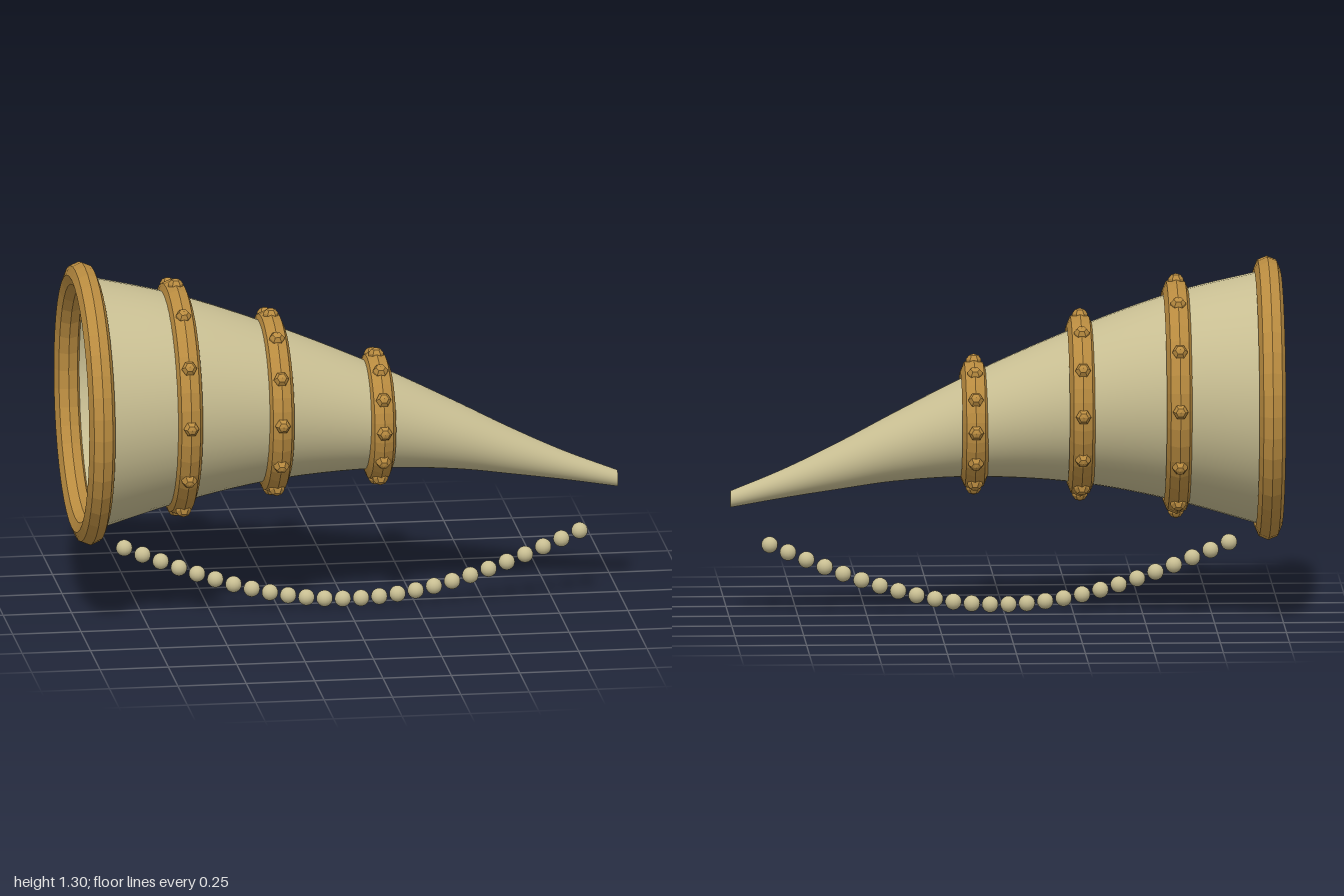
import * as THREE from 'three';
import { mergeVertices } from 'three/addons/utils/BufferGeometryUtils.js';

const material = (name, color, extra = {}) => new THREE.MeshStandardMaterial({ name, color, ...extra });

export function createModel() {
  const model = new THREE.Group();
  model.name = 'ornateHorn';
  const bone = material('bone', 0xc8be92, { side: THREE.DoubleSide });
  const gold = material('gold', 0xba8c40, { flatShading: true });

  const add = (name, geometry, mat, parent = model) => {
    const mesh = new THREE.Mesh(geometry, mat);
    mesh.name = name;
    parent.add(mesh);
    return mesh;
  };

  // Horn sections: x, centre height, radius
  const sections = [
    [-0.95, 0.79, 0.466], [-0.62, 0.798, 0.38], [-0.27, 0.77, 0.284], [0.11, 0.7, 0.19],
    [0.4, 0.619, 0.125], [0.6, 0.552, 0.086], [0.8, 0.488, 0.053], [0.995, 0.431, 0.03],
  ];
  const profile = new THREE.CatmullRomCurve3(sections.map((s) => new THREE.Vector3(...s)));

  // Hollow horn body: an open cylinder laid along the curved, tapering profile
  const body = new THREE.CylinderGeometry(1, 1, 1, 48, 40, true);
  const pos = body.attributes.position;
  for (let i = 0; i < pos.count; i++) {
    const s = profile.getPoint(Math.min(1, Math.max(0, pos.getY(i) + 0.5)));
    pos.setXYZ(i, s.x, s.y - pos.getX(i) * s.z, pos.getZ(i) * s.z);
  }
  body.deleteAttribute('uv');
  body.deleteAttribute('normal');
  const smoothBody = mergeVertices(body, 1e-5);
  smoothBody.computeVertexNormals();
  add('hornBody', smoothBody, bone);

  // Slightly sunken tip
  const tip = add('hornTip', new THREE.ConeGeometry(0.03, 0.02, 16, 1, true), bone);
  tip.rotation.z = Math.PI / 2;
  tip.position.set(0.985, 0.431, 0);

  // Ring around the x axis
  const ring = (name, radius, tube, parent) => {
    const geometry = new THREE.TorusGeometry(radius, tube, 8, 40);
    geometry.rotateY(Math.PI / 2);
    return add(name, geometry, gold, parent);
  };

  // Mouth rim
  ring('mouthRim', 0.467, 0.048, model).position.set(-0.952, 0.79, 0);

  // Three bands, each with twelve studs
  const studGeometry = new THREE.SphereGeometry(0.029, 6, 5);
  [[-0.62, 0.8, 0.381], [-0.272, 0.77, 0.286], [0.113, 0.7, 0.191]].forEach(([x, y, r], k) => {
    const band = new THREE.Group();
    band.name = `band${k + 1}`;
    band.position.set(x, y, 0);
    model.add(band);
    ring('bandRing', r, 0.048, band);
    for (let i = 0; i < 12; i++) {
      const a = (i / 12) * Math.PI * 2;
      const stud = add('stud', studGeometry, gold, band);
      stud.position.set(0, Math.cos(a) * (r + 0.038), Math.sin(a) * (r + 0.038));
      stud.rotation.x = a;
    }
  });

  // Hanging string of beads
  const beads = new THREE.Group();
  beads.name = 'beadString';
  model.add(beads);
  const beadGeometry = new THREE.SphereGeometry(0.03, 16, 12);
  for (let i = 0; i < 26; i++) {
    const t = i / 25;
    add('bead', beadGeometry, bone, beads)
      .position.set(-0.815 + 1.665 * t, 0.255 - 0.223 * Math.sin(Math.PI * t), 0.056);
  }
  return model;
}
